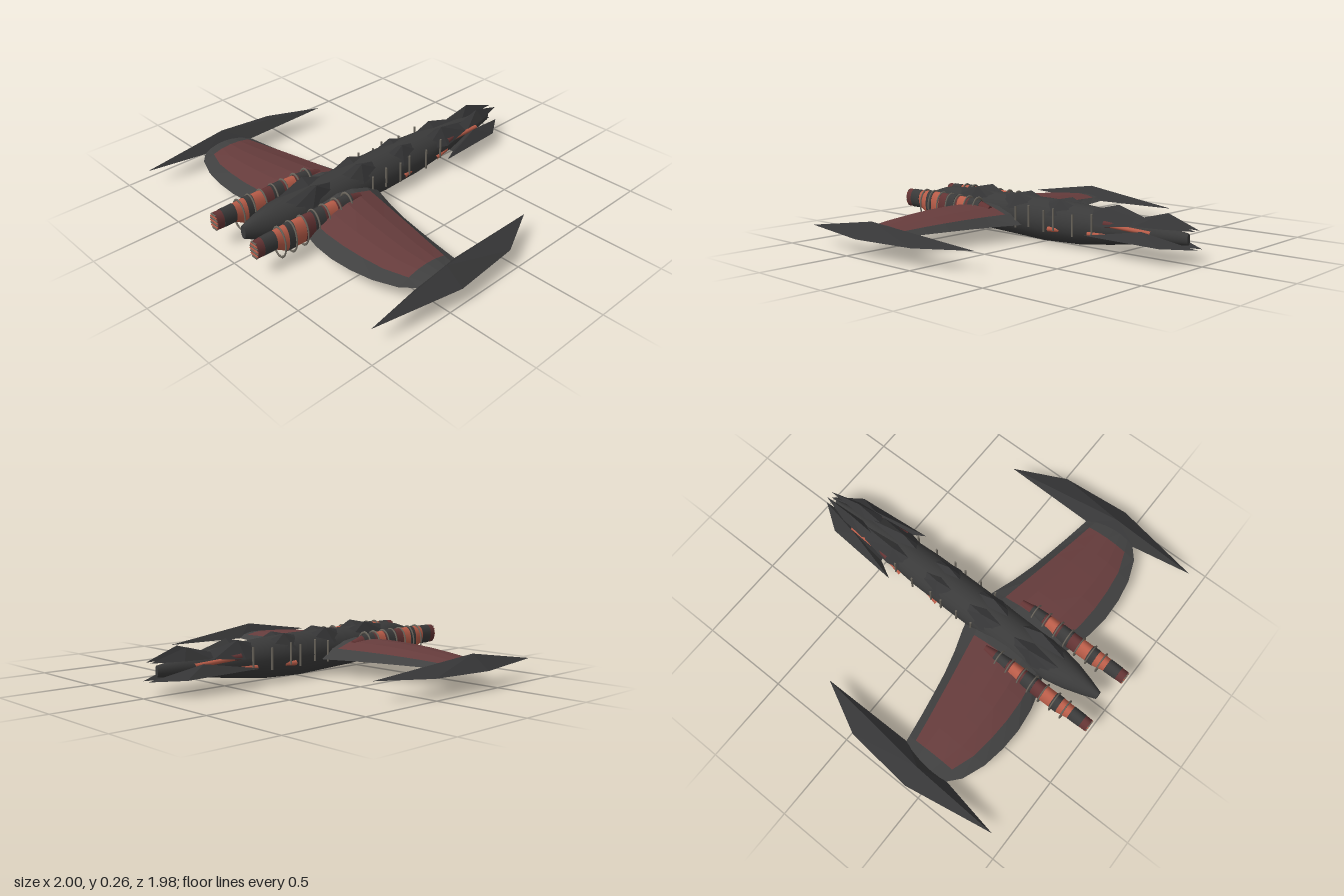
import * as THREE from 'three';

const mat = (name, color, side = THREE.FrontSide) => {
  const m = new THREE.MeshStandardMaterial({ color, side });
  m.name = name;
  return m;
};

export function createModel() {
  const root = new THREE.Group();
  root.name = 'starship';
  const hull = mat('dark hull', 0x3a3a3a);
  const armour = mat('armour', 0x363637);
  const wingRim = mat('wing rim', 0x404040);
  const panel = mat('wing panel', 0x663c3c);
  const hot = mat('engine orange', 0xb85c48);
  const maroon = mat('engine maroon', 0x633434);
  const metal = mat('ring metal', 0x6a655c);

  const add = (name, geo, material, parent = root) => {
    const m = new THREE.Mesh(geo, material);
    m.name = name;
    parent.add(m);
    return m;
  };
  const lerpTable = (table, t) => {
    for (let i = 0; i < table.length - 1; i++) {
      const a = table[i], b = table[i + 1];
      if ((t - a[0]) * (t - b[0]) <= 0) {
        const f = (t - a[0]) / (b[0] - a[0]);
        return a.map((v, k) => v + (b[k] - v) * f);
      }
    }
    return table[table.length - 1];
  };

  // Elliptical loft through sections [z, centre y, radius x, radius y], z decreasing
  const loft = (sections, cx = 0, sides = 20) => {
    const n = sections.length - 1;
    const g = new THREE.CylinderGeometry(1, 1, 1, sides, n).rotateX(Math.PI / 2);
    const p = g.attributes.position;
    for (let i = 0; i < p.count; i++) {
      const [z, cy, rx, ry] = sections[Math.round((0.5 - p.getZ(i)) * n)];
      p.setXYZ(i, cx + p.getX(i) * rx, cy + p.getY(i) * ry, z);
    }
    g.computeVertexNormals();
    return g;
  };

  // Flat triangles, turned to face up or down
  const pushTri = (out, a, b, c, up) => {
    const ny = (b[2] - a[2]) * (c[0] - a[0]) - (b[0] - a[0]) * (c[2] - a[2]);
    out.push(...a, ...((ny > 0) === up ? [...b, ...c] : [...c, ...b]));
  };
  const flatGeo = (arr) => {
    const g = new THREE.BufferGeometry();
    g.setAttribute('position', new THREE.Float32BufferAttribute(arr, 3));
    g.computeVertexNormals();
    return g;
  };
  // Faceted blade: outline of [x, y, z] rising to one apex, with a closed base
  const blade = (s, outline, apex) => {
    const o = outline.map(([x, y, z]) => [x * s, y, z]);
    const top = [apex[0] * s, apex[1], apex[2]];
    const base = [top[0], o.reduce((t, p) => t + p[1], 0) / o.length, top[2]];
    const out = [];
    o.forEach((a, i) => {
      const b = o[(i + 1) % o.length];
      pushTri(out, a, b, top, true);
      pushTri(out, a, b, base, false);
    });
    return flatGeo(out);
  };

  // Fuselage
  add('fuselage', loft([
    [0.93, 0.155, 0.02, 0.04], [0.85, 0.147, 0.048, 0.072], [0.75, 0.14, 0.078, 0.095],
    [0.65, 0.132, 0.098, 0.103], [0.4, 0.127, 0.108, 0.11], [0, 0.12, 0.11, 0.12],
    [-0.25, 0.12, 0.108, 0.11], [-0.45, 0.125, 0.095, 0.09], [-0.6, 0.127, 0.075, 0.07],
    [-0.8, 0.128, 0.045, 0.045], [-0.92, 0.125, 0.012, 0.03]]), hull);

  // Wing tables: [x, leading z, panel front z, panel rear z, trailing z]
  const plan = [
    [0.07, 0.1, 0.18, 0.59, 0.62], [0.14, 0.12, 0.2, 0.6, 0.655], [0.27, 0.165, 0.225, 0.622, 0.69],
    [0.4, 0.2, 0.25, 0.628, 0.705], [0.53, 0.226, 0.273, 0.622, 0.7], [0.66, 0.25, 0.296, 0.605, 0.678],
    [0.785, 0.27, 0.315, 0.56, 0.63], [0.86, 0.282, 0.33, 0.53, 0.565]];
  const rise = [0, 0.55, 0.88, 1, 0.88, 0.5, 0];
  const buildWing = (s, parent) => {
    const cols = plan.map(([x, l, f, r, t]) => {
      const zs = [l, f, f + (r - f) * 0.25, f + (r - f) * 0.5, f + (r - f) * 0.75, r, t];
      const low = 0.085 + 0.017 * x;
      const h = 0.082 * (1 - (x / 0.92) ** 2) + 0.016;
      return zs.map((z, i) => ({ top: [s * x, low + h * rise[i], z], low: [s * x, low - (i % 6 ? 0.004 : 0), z] }));
    });
    const rim = [], red = [];
    for (let c = 0; c < cols.length - 1; c++) {
      for (let r = 0; r < 6; r++) {
        const q = [cols[c][r], cols[c + 1][r], cols[c + 1][r + 1], cols[c][r + 1]];
        const out = c >= 1 && c <= 5 && r >= 1 && r <= 4 ? red : rim;
        pushTri(out, q[0].top, q[1].top, q[2].top, true);
        pushTri(out, q[0].top, q[2].top, q[3].top, true);
        pushTri(rim, q[0].low, q[1].low, q[2].low, false);
        pushTri(rim, q[0].low, q[2].low, q[3].low, false);
      }
    }
    add('wingRim', flatGeo(rim), wingRim, parent);
    add('wingPanel', flatGeo(red), panel, parent);
    add('wingTipBlade', blade(s, [[0.82, 0.105, -0.26], [0.965, 0.1, 0.03], [1, 0.097, 0.42],
      [0.91, 0.1, 0.92], [0.85, 0.097, 0.58], [0.815, 0.097, 0.28]], [0.895, 0.175, 0.42]), armour, parent);
  };

  // Engine profile [z, centre y, radius x, radius y] and colour bands
  const shape = [[0.985, 0.163, 0.034, 0.053], [0.87, 0.163, 0.036, 0.053], [0.8, 0.143, 0.041, 0.077],
    [0.5, 0.135, 0.041, 0.08], [0.38, 0.137, 0.036, 0.07], [0.295, 0.14, 0.022, 0.04]];
  const bands = [[0.985, 0.945, maroon], [0.945, 0.87, hull], [0.87, 0.8, hot], [0.8, 0.755, hull],
    [0.755, 0.69, hot], [0.69, 0.63, maroon], [0.63, 0.56, hull], [0.56, 0.535, maroon],
    [0.535, 0.475, hot], [0.475, 0.45, maroon], [0.45, 0.365, hull], [0.365, 0.295, maroon]];
  const buildEngine = (s, parent) => {
    const cx = 0.165 * s;
    bands.forEach(([z0, z1, m], i) => {
      const k = m === hull ? 1.04 : 1;
      const ends = [z0, z1].map((z) => {
        const [, cy, rx, ry] = lerpTable(shape, z);
        return [z, cy, rx * k, ry * k];
      });
      add('engineBand' + i, loft(ends, cx, 18), m, parent);
    });
    // Exhaust slats
    for (let i = -3; i <= 3; i++) {
      const w = 0.062 * Math.sqrt(1 - (i / 3.8) ** 2);
      add('exhaustSlat', new THREE.BoxGeometry(w, 0.007, 0.008).translate(cx, 0.163 + i * 0.014, 0.986), i % 2 ? metal : hot, parent);
    }
    // Hoops around the engine
    [0.835, 0.765, 0.69, 0.615, 0.545, 0.465, 0.39].forEach((z, i) => {
      const g = new THREE.TorusGeometry(0.052, 0.0045, 6, 24).scale(1, i < 2 ? 1.68 : 1.62, 1);
      add('engineHoop', g.translate(cx, 0.134, z), metal, parent);
    });
  };

  // Armour scales along the back: [front z, rear z, apex z, apex y, apex x, outer x, base y]
  const scales = [[0.3, 0.73, 0.5, 0.265, 0.06, 0.098, 0.19], [-0.02, 0.36, 0.18, 0.257, 0.055, 0.104, 0.19],
    [-0.32, 0.06, -0.13, 0.25, 0.052, 0.108, 0.18], [-0.72, -0.26, -0.45, 0.242, 0.05, 0.112, 0.165]];

  for (const s of [1, -1]) {
    const side = new THREE.Group();
    side.name = s > 0 ? 'leftSide' : 'rightSide';
    root.add(side);
    buildWing(s, side);
    buildEngine(s, side);
    for (const [f, r, az, ay, ax, ox, by] of scales) {
      const len = r - f;
      add('backScale', blade(s, [[0.02, by + 0.01, f], [ox * 0.75, by, f + len * 0.2], [ox, by - 0.02, f + len * 0.6],
        [ox * 0.7, by, r - len * 0.1], [0.02, by + 0.03, r], [0.002, by + 0.045, az]], [ax, ay, az]), armour, side);
    }
    // Upper and lower prongs of the bow
    add('upperProng', blade(s, [[0.02, 0.172, -0.97], [0.07, 0.17, -0.8], [0.085, 0.168, -0.65],
      [0.04, 0.18, -0.56], [0.008, 0.18, -0.7]], [0.04, 0.235, -0.77]), armour, side);
    add('lowerProng', blade(s, [[0.022, 0.082, -0.985], [0.13, 0.085, -0.83], [0.165, 0.1, -0.39],
      [0.105, 0.085, -0.5], [0.012, 0.06, -0.52], [0.01, 0.078, -0.85]], [0.09, 0.148, -0.7]), armour, side);
    // Exposed conduits
    const pipe = (z0, z1, x, y0, y1, r, m) => add('conduit', new THREE.TubeGeometry(new THREE.LineCurve3(
      new THREE.Vector3(x * s, y0, z0), new THREE.Vector3(x * s * 0.8, y1, z1)), 1, r, 8), m, side);
    pipe(-0.48, -0.74, 0.085, 0.155, 0.14, 0.012, hot);
    pipe(-0.46, -0.55, 0.088, 0.16, 0.158, 0.018, maroon);
    pipe(-0.36, -0.47, 0.1, 0.095, 0.1, 0.012, hot);
    pipe(-0.09, -0.18, 0.108, 0.09, 0.09, 0.014, hot);
    // Ribs standing on the flanks
    [0.15, 0.05, -0.06, -0.13, -0.265, -0.39].forEach((z, i) => {
      const x = z < -0.3 ? 0.104 : 0.111;
      add('flankRib', new THREE.CylinderGeometry(0.006, 0.006, 0.12, 6).translate(x * s, 0.13 + (i % 2) * 0.015, z), metal, side);
    });
  }
  return root;
}
